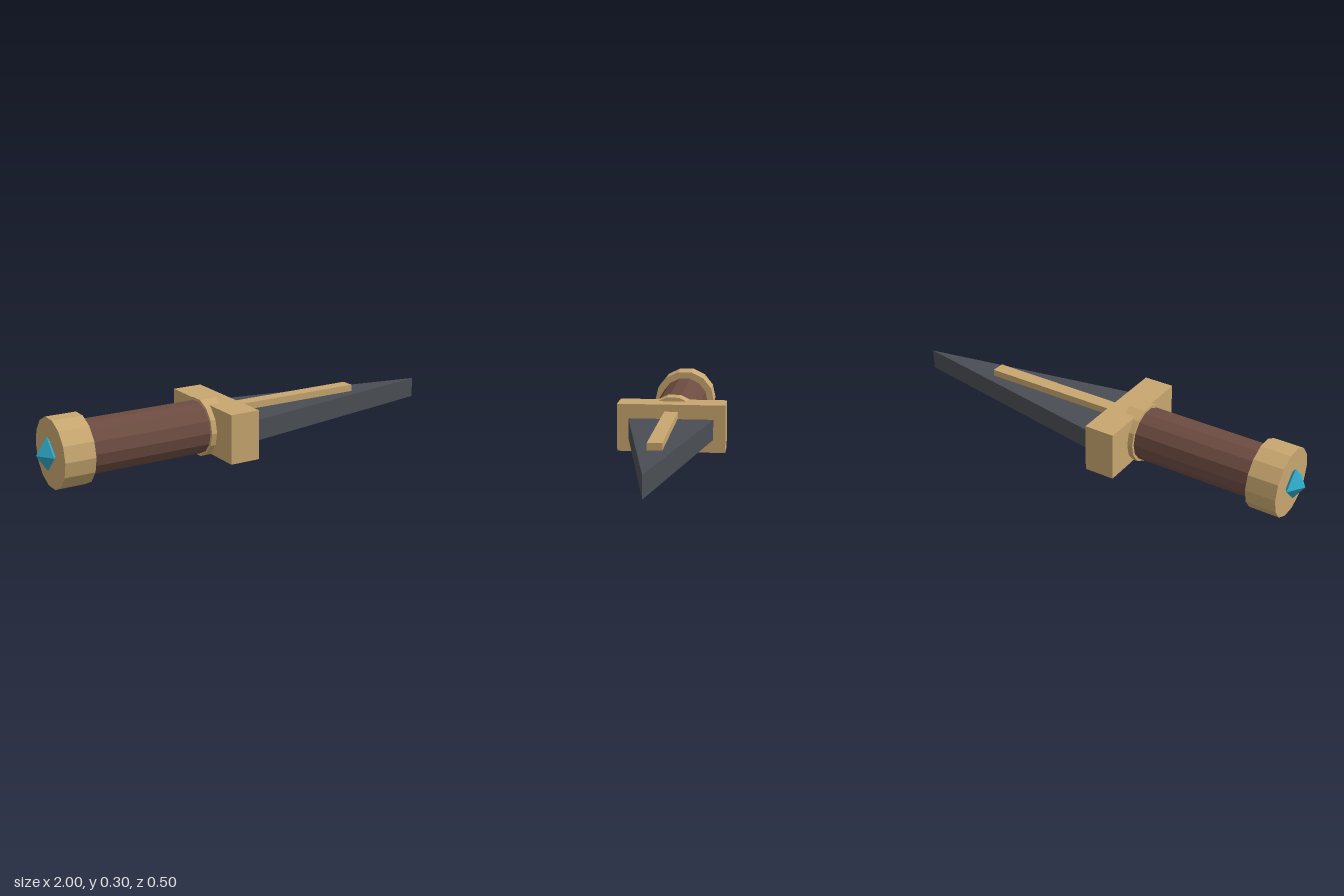
import * as THREE from 'three';

const material = (name, color) => {
  const m = new THREE.MeshStandardMaterial({ color, flatShading: true });
  m.name = name;
  return m;
};

export function createModel() {
  const gold = material('gold', 0xc8a76f);
  const leather = material('brown leather', 0x6d4c41);
  const steel = material('dark steel', 0x4a4e54);
  const crystal = material('blue crystal', 0x2fa9c7);
  const axisY = 0.15;
  const group = new THREE.Group();
  group.name = 'dagger';

  const add = (name, geometry, mat) => {
    const mesh = new THREE.Mesh(geometry, mat);
    mesh.name = name;
    group.add(mesh);
    return mesh;
  };

  // 14-sided rod along x, with a corner at each z extreme
  const rod = (name, x0, x1, radius, mat) => {
    const g = new THREE.CylinderGeometry(radius, radius, x1 - x0, 14);
    g.rotateZ(Math.PI / 2).translate((x0 + x1) / 2, axisY, 0);
    return add(name, g, mat);
  };

  // Box given by its x and y ranges and full depth
  const block = (name, x0, x1, y0, y1, depth, mat) => {
    const g = new THREE.BoxGeometry(x1 - x0, y1 - y0, depth);
    g.translate((x0 + x1) / 2, (y0 + y1) / 2, 0);
    return add(name, g, mat);
  };

  // Handle
  rod('pommel', -0.937, -0.8, 0.154, gold);
  rod('grip', -0.805, -0.2, 0.12, leather);
  rod('collar', -0.24, -0.16, 0.133, gold);
  block('crossguard', -0.215, -0.075, 0.04, 0.262, 0.502, gold);

  // Gem set in the pommel
  const gem = new THREE.OctahedronGeometry(1);
  gem.scale(0.05, 0.075, 0.075).translate(-0.95, axisY, 0);
  add('gem', gem, crystal);

  // Wedge-shaped blade, extruded upwards
  const outline = new THREE.Shape([
    new THREE.Vector2(-0.06, -0.196),
    new THREE.Vector2(1, 0),
    new THREE.Vector2(-0.06, 0.196),
  ]);
  const blade = new THREE.ExtrudeGeometry(outline, { depth: 0.094, bevelEnabled: false });
  blade.rotateX(-Math.PI / 2).translate(0, 0.104, 0);
  add('blade', blade, steel);

  // Raised rib along the upper face
  block('bladeRib', -0.08, 0.595, 0.197, 0.229, 0.063, gold);

  return group;
}
